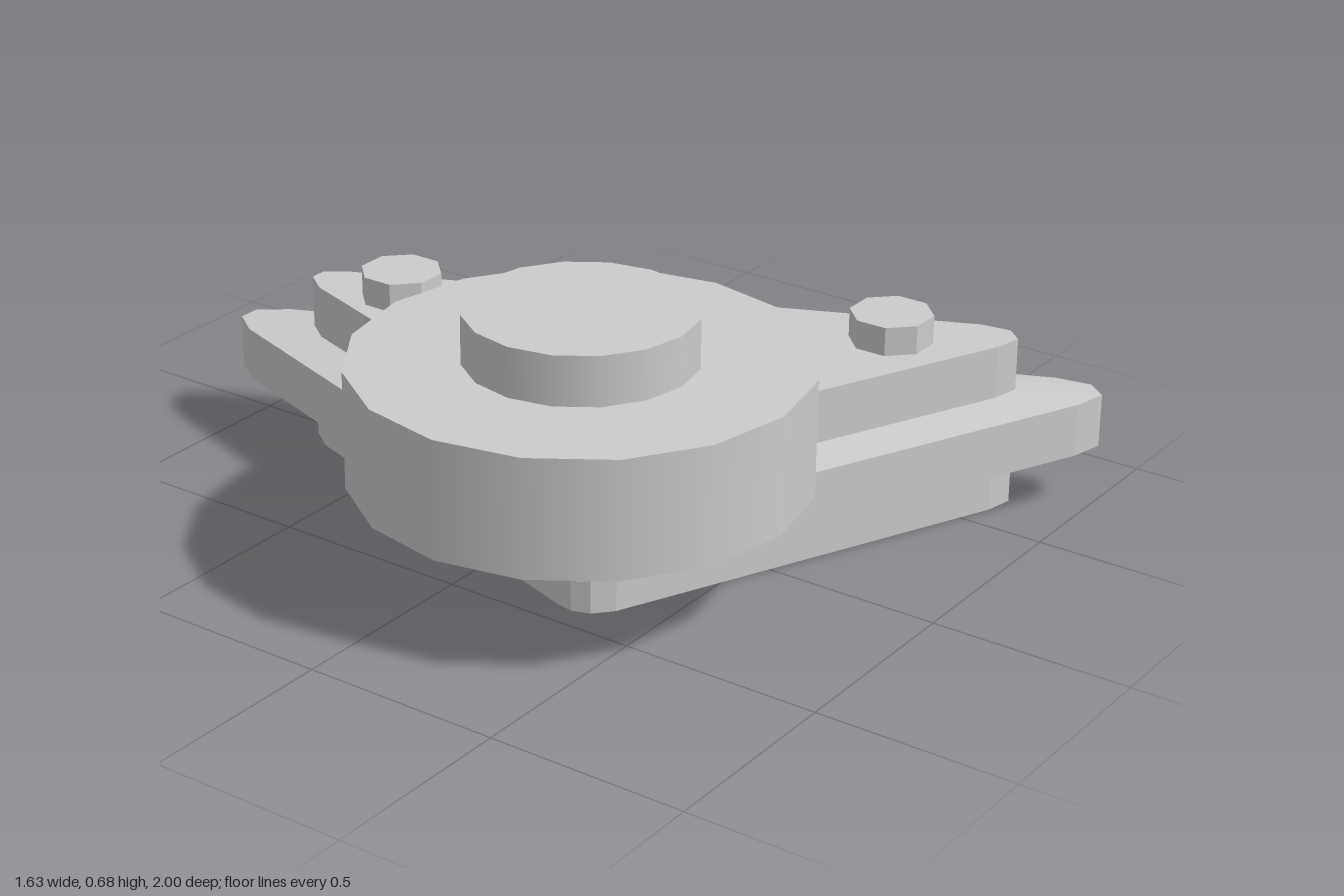
import * as THREE from 'three';

const smooth = new THREE.MeshStandardMaterial({ color: 0xcccccc });
const flat = new THREE.MeshStandardMaterial({ color: 0xcccccc, flatShading: true });

// Triangular outlines with rounded corners, [x, z]: back, front-left and right corners
const inner = [
  [-0.095, -0.73], [-0.05, -0.79], [-0.01, -0.79], [0.03, -0.735],
  [0.675, 0.715], [0.685, 0.79], [0.65, 0.83], [0.58, 0.815],
  [-0.38, 0.385], [-0.425, 0.345], [-0.44, 0.30], [-0.43, 0.25],
];
const outer = [
  [-0.14, -0.93], [-0.09, -1], [-0.035, -1], [0.02, -0.93],
  [0.80, 0.86], [0.815, 0.95], [0.775, 1], [0.69, 0.98],
  [-0.50, 0.445], [-0.55, 0.395], [-0.565, 0.335], [-0.55, 0.27],
];

// Closed solid through a stack of matching outlines, given as [y, outline]
function loft(layers) {
  const pos = [];
  const n = layers[0][1].length;
  const put = ([y, ring], i) => pos.push(ring[i % n][0], y, ring[i % n][1]);
  for (let k = 0; k < layers.length - 1; k++) {
    const lo = layers[k], hi = layers[k + 1];
    for (let i = 0; i < n; i++) {
      put(lo, i); put(hi, i); put(hi, i + 1);
      put(lo, i); put(hi, i + 1); put(lo, i + 1);
    }
  }
  const bottom = layers[0], top = layers[layers.length - 1];
  for (let i = 1; i < n - 1; i++) {
    put(top, 0); put(top, i + 1); put(top, i);
    put(bottom, 0); put(bottom, i); put(bottom, i + 1);
  }
  const geometry = new THREE.BufferGeometry();
  geometry.setAttribute('position', new THREE.Float32BufferAttribute(pos, 3));
  geometry.computeVertexNormals();
  return geometry;
}

// Upright cylinder between two heights
function disc(name, x, z, radius, y0, y1, sides, material) {
  const mesh = new THREE.Mesh(new THREE.CylinderGeometry(radius, radius, y1 - y0, sides), material);
  mesh.name = name;
  mesh.position.set(x, (y0 + y1) / 2, z);
  return mesh;
}

export function createModel() {
  const model = new THREE.Group();
  model.name = 'triangularHousing';

  // Triangular body with a wide flange around its middle
  const body = new THREE.Mesh(loft([
    [0, inner], [0.133, inner], [0.15, outer],
    [0.285, outer], [0.30, inner], [0.433, inner],
  ]), flat);
  body.name = 'flangedBody';
  model.add(body);

  // Large round drum and the hub on top of it
  model.add(disc('drum', -0.273, 0.208, 0.547, 0.26, 0.552, 16, smooth));
  model.add(disc('hub', -0.273, 0.208, 0.277, 0.54, 0.675, 16, smooth));

  // Bolt heads at the two exposed corners
  for (const [x, z] of [[-0.018, -0.528], [0.467, 0.585]]) {
    const bolt = disc('boltHead', x, z, 0.102, 0.42, 0.505, 8, flat);
    bolt.rotation.y = Math.PI / 8;
    model.add(bolt);
  }
  return model;
}
